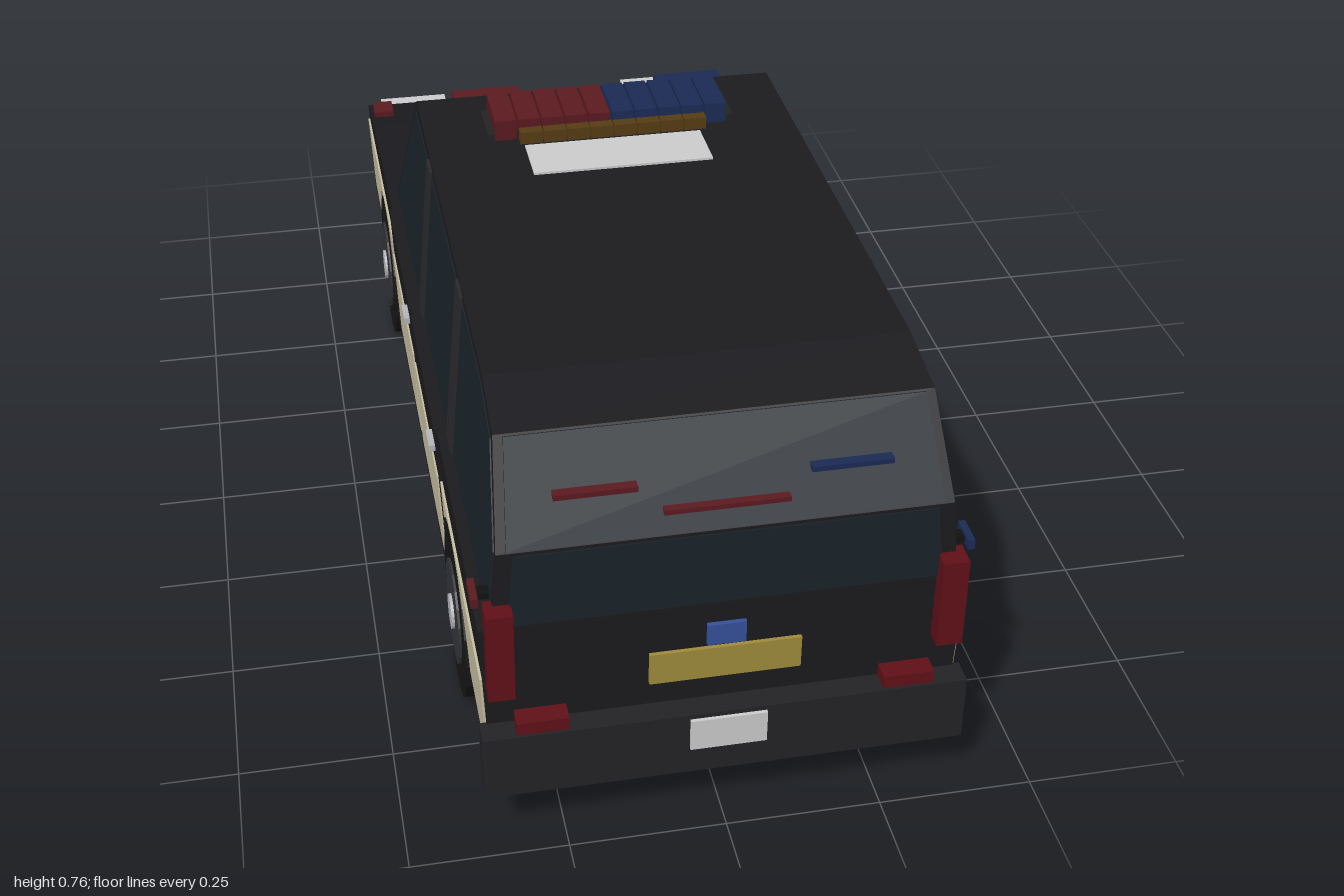
import * as THREE from 'three';

const mat = (color) => new THREE.MeshStandardMaterial({ color, flatShading: true });
const M = {
  body: mat(0x1b1b1f), glass: mat(0x19222a), pillar: mat(0x29292d), trim: mat(0x232326),
  cream: mat(0xc8bfa2), black: mat(0x121212), tyre: mat(0x171717), rim: mat(0x34353a),
  silver: mat(0xb4b4ba), white: mat(0xdcdce0), red: mat(0x5c1a20), tail: mat(0x601018),
  blue: mat(0x1c2b55), badge: mat(0x35519c), amber: mat(0x553c14), gold: mat(0xa08c3c),
};
const AXLES = [0.58, -0.57];
const WHEEL_Y = 0.145;

// Half width of the sides: lower body widens up to the belt, cabin leans in
const lowerWidth = (y) => 0.361 + (y - 0.11) * 0.046;
const cabinWidth = (y) => 0.356 - (y - 0.415) * 0.088;

export function createModel() {
  const car = new THREE.Group();
  car.name = 'patrolWagon';

  const add = (name, geometry, material, x = 0, y = 0, z = 0) => {
    const mesh = new THREE.Mesh(geometry, material);
    mesh.name = name;
    mesh.position.set(x, y, z);
    car.add(mesh);
    return mesh;
  };
  // Box given by its extents
  const box = (name, material, x0, x1, y0, y1, z0, z1) =>
    add(name, new THREE.BoxGeometry(x1 - x0, y1 - y0, z1 - z0), material,
      (x0 + x1) / 2, (y0 + y1) / 2, (z0 + z1) / 2);
  // Side outline in (z, y), spanned across the car and fitted to the side slope
  const span = (name, shape, material, width, offset = 0) => {
    const g = new THREE.ExtrudeGeometry(shape, { depth: 1, bevelEnabled: false, curveSegments: 10 });
    g.rotateY(-Math.PI / 2).translate(0.5, 0, 0);
    const p = g.attributes.position;
    for (let i = 0; i < p.count; i++) p.setX(i, Math.sign(p.getX(i)) * (width(p.getY(i)) + offset));
    g.computeVertexNormals();
    return add(name, g, material);
  };
  const outline = (points) => new THREE.Shape(points.map(([z, y]) => new THREE.Vector2(z, y)));
  // Points of a wheel arch, running from rear to front above the axle
  const arch = (zc, r, bottom) => {
    const a0 = Math.asin((bottom - WHEEL_Y) / r);
    return Array.from({ length: 13 }, (_, i) => {
      const a = a0 + (Math.PI - 2 * a0) * i / 12;
      return [zc + r * Math.cos(a), WHEEL_Y + r * Math.sin(a)];
    });
  };

  // Lower body with open wheel arches
  span('lowerBody', outline([
    [0.955, 0.415], [0.95, 0.115], ...arch(AXLES[0], 0.15, 0.115), ...arch(AXLES[1], 0.15, 0.115),
    [-0.84, 0.115], [-0.905, 0.145], [-0.915, 0.25], [-0.935, 0.34], [-0.74, 0.385], [-0.4, 0.416],
  ]), M.body, lowerWidth);
  box('innerFloor', M.black, -0.265, 0.265, 0.11, 0.34, -0.84, 0.94);
  box('underTray', M.black, -0.325, 0.325, 0.065, 0.09, -0.84, 0.92);
  box('trayMount', M.black, -0.2, 0.2, 0.085, 0.115, -0.3, 0.3);

  // Cabin
  span('cabin', outline([
    [0.955, 0.41], [0.95, 0.548], [0.855, 0.692], [0.735, 0.716], [-0.17, 0.722], [-0.4, 0.41],
  ]), M.body, cabinWidth);

  // Doors, front first
  for (const [z0, z1] of [[-0.325, 0.052], [0.07, 0.435]]) {
    span('door', outline([[z0, 0.14], [z1, 0.14], [z1, 0.414], [z0, 0.414]]), M.body, lowerWidth, 0.005);
    span('doorPanel', outline([[z0 + 0.005, 0.142], [z1 - 0.005, 0.142], [z1 - 0.005, 0.315], [z0 + 0.005, 0.315]]),
      M.cream, lowerWidth, 0.008);
  }
  box('sill', M.trim, -0.368, 0.368, 0.105, 0.135, -0.41, 0.42);

  // Cream fender panels cut round the wheels
  span('rearFenderPanel', outline([
    [0.947, 0.315], [0.943, 0.147], ...arch(AXLES[0], 0.157, 0.147).filter(([z]) => z > 0.445),
    [0.445, 0.24], [0.445, 0.315],
  ]), M.cream, lowerWidth, 0.004);
  span('frontFenderPanel', outline([
    [-0.38, 0.315], [-0.38, 0.16], ...arch(AXLES[1], 0.157, 0.16),
    [-0.897, 0.16], [-0.908, 0.25], [-0.918, 0.315],
  ]), M.cream, lowerWidth, 0.004);

  // Side glass and pillars
  const sideGlass = [
    [[-0.375, 0.42], [0.035, 0.42], [0.035, 0.705], [-0.165, 0.705]],
    [[0.095, 0.42], [0.445, 0.42], [0.445, 0.705], [0.095, 0.705]],
    [[0.515, 0.42], [0.94, 0.42], [0.938, 0.545], [0.845, 0.68], [0.735, 0.703], [0.515, 0.705]],
  ];
  sideGlass.forEach((pts) => span('sideWindow', outline(pts), M.glass, cabinWidth, 0.002));
  for (const [z0, z1] of [[0.04, 0.09], [0.45, 0.51]]) {
    span('pillar', outline([[z0, 0.416], [z1, 0.416], [z1, 0.713], [z0, 0.713]]), M.pillar, cabinWidth, 0.005);
  }

  // Sloping glass at both ends
  span('windscreen', outline([[-0.392, 0.432], [-0.36, 0.43], [-0.15, 0.71], [-0.182, 0.714]]),
    M.glass, cabinWidth, -0.02);
  span('rearWindow', outline([[0.952, 0.552], [0.92, 0.54], [0.83, 0.68], [0.86, 0.69]]),
    M.glass, cabinWidth, -0.015);
  span('tailgateUpper', outline([[0.959, 0.42], [0.93, 0.42], [0.93, 0.54], [0.954, 0.543]]),
    M.glass, cabinWidth, -0.025);

  // Bumpers and push bar
  box('rearBumper', M.trim, -0.378, 0.378, 0.115, 0.23, 0.948, 0.99);
  box('frontBumper', M.trim, -0.365, 0.365, 0.12, 0.21, -0.96, -0.92);
  box('bumperMount', M.black, -0.3, 0.3, 0.14, 0.2, -0.93, -0.88);
  box('pushBar', M.trim, -0.25, 0.25, 0.135, 0.18, -1, -0.965);
  box('frontPlate', M.white, -0.055, 0.055, 0.15, 0.195, -0.966, -0.958);
  box('rearPlate', M.white, -0.06, 0.06, 0.165, 0.222, 0.988, 0.996);
  box('grille', M.black, -0.195, 0.195, 0.25, 0.325, -0.938, -0.9);

  // Plain panels on tailgate and roof
  box('tailgatePanel', M.gold, -0.118, 0.118, 0.275, 0.332, 0.95, 0.96);
  box('tailgateBadge', M.badge, -0.03, 0.03, 0.34, 0.378, 0.95, 0.962);
  box('roofPanel', M.white, -0.16, 0.155, 0.715, 0.724, 0.04, 0.145);

  // Paired lamps: red on the right, blue on the left
  for (const s of [-1, 1]) {
    const flash = s < 0 ? M.red : M.blue;
    const pair = (name, m, x0, x1, ...rest) =>
      box(name, m, Math.min(s * x0, s * x1), Math.max(s * x0, s * x1), ...rest);
    pair('tailLight', M.tail, 0.325, 0.366, 0.3, 0.458, 0.94, 0.982);
    pair('rearReflector', M.tail, 0.245, 0.325, 0.23, 0.252, 0.945, 0.985);
    pair('headlight', M.white, 0.2, 0.342, 0.28, 0.342, -0.955, -0.91);
    pair('rearFlasher', flash, 0.13, 0.255, 0.612, 0.621, 0.89, 0.922);
    pair('windscreenFlasher', flash, 0.13, 0.255, 0.684, 0.694, -0.256, -0.215);
    pair('grilleFlasher', flash, 0.17, 0.225, 0.255, 0.272, -0.938, -0.9);
    pair('fenderFlasher', flash, 0.325, 0.365, 0.35, 0.378, -0.87, -0.82);
    pair('sideFlasher', flash, 0.372, 0.383, 0.455, 0.472, 0.9, 0.95);
    pair('flasherBracket', M.black, 0.345, 0.374, 0.458, 0.468, 0.915, 0.935);
    for (const z of [0.405, 0]) pair('doorHandle', M.silver, 0.375, 0.389, 0.367, 0.379, z - 0.024, z + 0.024);

    // Wheels
    for (const z of AXLES) {
      const disc = (name, r, width, x, m) =>
        add(name, new THREE.CylinderGeometry(r, r, width, 18).rotateZ(Math.PI / 2), m, s * x, WHEEL_Y, z);
      disc('tyre', 0.145, 0.102, 0.321, M.tyre);
      disc('rim', 0.09, 0.02, 0.366, M.rim);
      disc('hubCap', 0.03, 0.02, 0.371, M.silver);
    }
  }
  box('brakeLight', M.red, -0.095, 0.095, 0.579, 0.587, 0.91, 0.942);

  // Roof light bar
  box('lightBarBase', M.trim, -0.222, 0.222, 0.715, 0.735, -0.085, 0.01);
  for (let i = 0; i < 10; i++) {
    const x = -0.209 + i * 0.042;
    box('lightBarLamp', i < 5 ? M.red : M.blue, x, x + 0.038, 0.724, 0.762, -0.098, 0.015);
  }
  for (let i = 0; i < 8; i++) {
    const x = -0.167 + i * 0.042;
    box('amberLamp', M.amber, x, x + 0.04, 0.724, 0.746, 0.012, 0.036);
  }
  return car;
}
